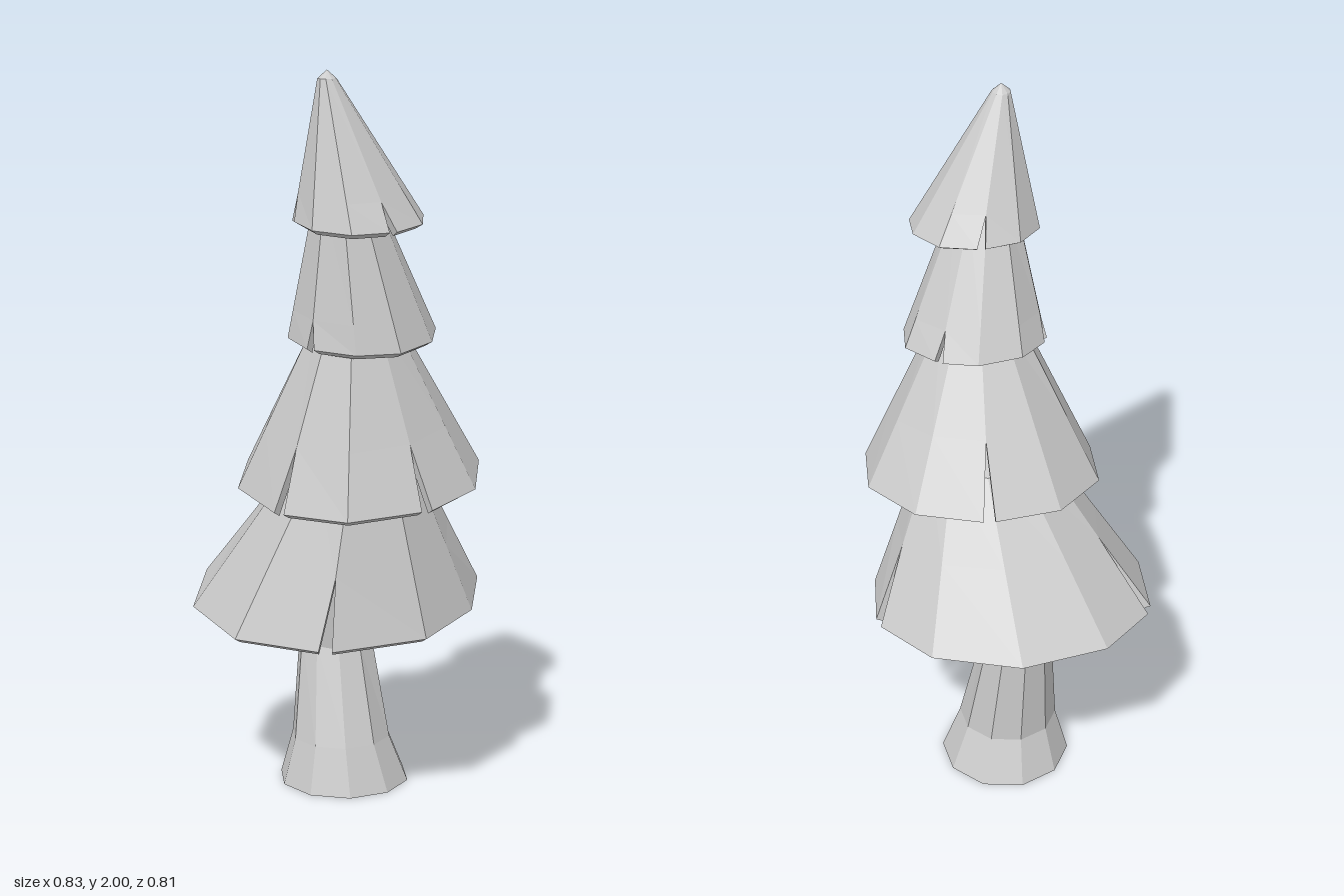
import * as THREE from 'three';

const material = new THREE.MeshStandardMaterial({ color: 0xcccccc, flatShading: true, side: THREE.DoubleSide });

// Collects triangles and quads into a faceted mesh.
function facetedMesh(name, build) {
  const pos = [];
  const tri = (...p) => p.forEach((v) => pos.push(v.x, v.y, v.z));
  const quad = (a, b, c, d) => { tri(a, b, c); tri(a, c, d); };
  build(tri, quad);
  const geometry = new THREE.BufferGeometry();
  geometry.setAttribute('position', new THREE.Float32BufferAttribute(pos, 3));
  geometry.computeVertexNormals();
  const mesh = new THREE.Mesh(geometry, material);
  mesh.name = name;
  return mesh;
}

// Rim corners are [x, z, notched]; the rim lies on the plane y = h + sx*x + sz*z.
const TIERS = [
  {
    name: 'bottomBranches', plane: [0.535, -0.07, -0.11], notch: 0.19, gap: 0.018,
    top: [0.1, 0.97, 0.065], topRadius: 0.16, capRise: 0.02,
    rim: [[0.36, 0.09], [0.2, 0.315, 1], [-0.04, 0.4], [-0.27, 0.315], [-0.412, 0.093, 1],
      [-0.4, -0.14], [-0.245, -0.335], [-0.005, -0.405], [0.215, -0.322, 1], [0.345, -0.13]],
  },
  {
    name: 'lowerBranches', plane: [0.91, -0.06, -0.13], notch: 0.17, gap: 0.016,
    top: [0.148, 1.36, 0.125], topRadius: 0.105, capRise: 0.02,
    rim: [[0.402, 0.145, 1], [0.28, 0.32], [0.095, 0.375, 1], [-0.11, 0.305], [-0.225, 0.135],
      [-0.215, -0.07], [-0.082, -0.222, 1], [0.11, -0.285], [0.3, -0.215], [0.415, -0.045]],
  },
  {
    name: 'upperBranches', plane: [1.316, -0.085, -0.09], notch: 0.075, gap: 0.012,
    top: [0.146, 1.67, 0.165], topRadius: 0.085, capRise: 0.01,
    rim: [[0.325, 0.16], [0.25, 0.25], [0.13, 0.288, 1], [0.02, 0.25], [-0.055, 0.135, 1],
      [-0.05, 0.015], [0.03, -0.08], [0.135, -0.107, 1], [0.26, -0.07], [0.325, 0.03]],
  },
  {
    name: 'treeTop', plane: [1.632, -0.08, -0.09], notch: 0.075, gap: 0.011,
    top: [0.125, 1.978, 0.215], topRadius: 0.025, capRise: 0.022,
    rim: [[0.322, 0.19, 1], [0.26, 0.28], [0.155, 0.31], [0.058, 0.27, 1], [-0.01, 0.18],
      [-0.01, 0.075], [0.06, -0.008, 1], [0.165, -0.045], [0.27, 0], [0.33, 0.08]],
  },
];

// One hollow, leaning skirt of branches with V-shaped notches cut into its rim.
function branchTier({ name, plane, notch, gap, top, topRadius, capRise, rim }) {
  const n = rim.length;
  const cx = rim.reduce((s, p) => s + p[0], 0) / n;
  const cz = rim.reduce((s, p) => s + p[1], 0) / n;
  const peak = new THREE.Vector3(...top);

  const columns = rim.map(([x, z, notched]) => {
    const angle = Math.atan2(z - cz, x - cx);
    const out = new THREE.Vector3(Math.cos(angle), 0, Math.sin(angle));
    const along = new THREE.Vector3(-out.z, 0, out.x);
    const low = new THREE.Vector3(x, plane[0] + plane[1] * x + plane[2] * z + 0.012, z);
    const high = peak.clone().addScaledVector(out, topRadius);
    const mid = low.clone().lerp(high, notch / (high.y - low.y));
    const shift = notched ? gap : 0;
    const outer = {
      before: low.clone().addScaledVector(along, -shift),
      after: low.clone().addScaledVector(along, shift),
      mid, high,
    };
    // inner wall: moved inward and slightly down
    const inner = {};
    for (const key in outer) {
      inner[key] = outer[key].clone().addScaledVector(out, -0.02);
      inner[key].y -= 0.012;
    }
    return { outer, inner, notched };
  });

  return facetedMesh(name, (tri, quad) => {
    const tip = peak.clone();
    tip.y += capRise;
    const innerTip = peak.clone();
    innerTip.y -= 0.012;
    for (let i = 0; i < n; i++) {
      const a = columns[i], b = columns[(i + 1) % n];
      const A = a.outer, B = b.outer, C = a.inner, D = b.inner;
      // outer wall and cap
      quad(A.after, A.mid, B.mid, B.before);
      quad(A.mid, A.high, B.high, B.mid);
      tri(A.high, tip, B.high);
      // inner wall and ceiling
      quad(D.before, D.mid, C.mid, C.after);
      quad(D.mid, D.high, C.high, C.mid);
      tri(D.high, innerTip, C.high);
      // rim and notch edges
      quad(A.after, B.before, D.before, C.after);
      if (a.notched) quad(C.after, C.mid, A.mid, A.after);
      if (b.notched) quad(B.before, B.mid, D.mid, D.before);
    }
  });
}

// Bent trunk with a flared, open foot; sections are [x, y, z, radius, tilt].
function trunk() {
  const sides = 10;
  const sections = [
    [-0.025, 0, -0.035, 0.182, 0],
    [-0.028, 0.13, -0.025, 0.138, 0],
    [-0.068, 0.425, -0.05, 0.101, -0.25],
    [0.03, 0.88, 0, 0.09, 0],
  ];
  const rings = sections.map(([x, y, z, r, tilt]) => Array.from({ length: sides }, (_, i) => {
    const t = ((i + 0.25) / sides) * Math.PI * 2;
    const dx = Math.cos(t) * r, dz = Math.sin(t) * r;
    return new THREE.Vector3(x + dx, y + tilt * (dx + dz), z + dz);
  }));
  return facetedMesh('trunk', (tri, quad) => {
    for (let k = 0; k < rings.length - 1; k++) {
      for (let i = 0; i < sides; i++) {
        const j = (i + 1) % sides;
        quad(rings[k][i], rings[k + 1][i], rings[k + 1][j], rings[k][j]);
      }
    }
  });
}

export function createModel() {
  const tree = new THREE.Group();
  tree.name = 'pineTree';
  tree.add(trunk(), ...TIERS.map(branchTier));
  return tree;
}
